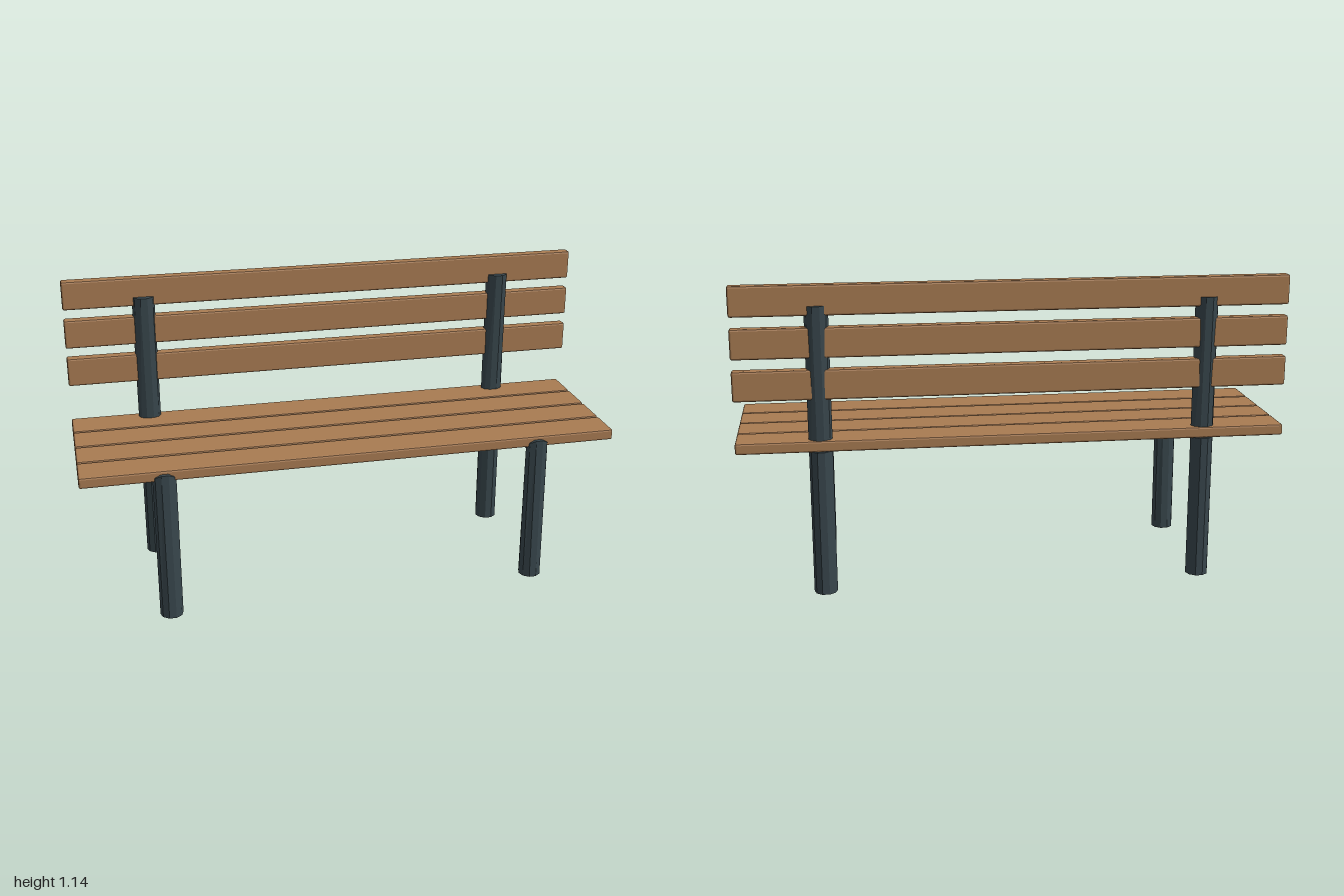
import * as THREE from 'three';
import { RoundedBoxGeometry } from 'three/addons/geometries/RoundedBoxGeometry.js';

const SIDES = 10, R = 0.0425, POST_X = 0.7, LEG_Z = 0.265, BEAM_Y = 0.54;

// Bent pipe: ten-sided rings swept through centres (z, y); each ring lies in x and direction (dz, dy)
function bentPipe(rings) {
  const pos = [];
  const point = (i, j) => {
    const [z, y, dz, dy] = rings[i];
    const a = (j % SIDES) / SIDES * Math.PI * 2;
    const w = R * Math.sin(a);
    return [R * Math.cos(a), y + w * dy, z + w * dz];
  };
  const centre = i => [0, rings[i][1], rings[i][0]];
  const tri = (a, b, c) => pos.push(...a, ...b, ...c);
  const last = rings.length - 1;
  for (let j = 0; j < SIDES; j++) {
    for (let i = 0; i < last; i++) {
      tri(point(i, j), point(i + 1, j), point(i, j + 1));
      tri(point(i, j + 1), point(i + 1, j), point(i + 1, j + 1));
    }
    // End caps
    tri(centre(0), point(0, j), point(0, j + 1));
    tri(centre(last), point(last, j + 1), point(last, j));
  }
  const geo = new THREE.BufferGeometry();
  geo.setAttribute('position', new THREE.Float32BufferAttribute(pos, 3));
  geo.computeVertexNormals();
  return geo;
}

// Plank with small chamfered edges
function plankGeometry(height, depth) {
  const geo = new RoundedBoxGeometry(2, height, depth, 1, 0.007);
  geo.computeVertexNormals();
  return geo;
}

export function createModel() {
  const bench = new THREE.Group();
  bench.name = 'bench';

  const wood = new THREE.MeshStandardMaterial({ color: 0xa87b52 });
  wood.name = 'wood';
  const metal = new THREE.MeshStandardMaterial({ color: 0x38464c, flatShading: true });
  metal.name = 'dark metal';

  const add = (name, geo, mat, x, y, z) => {
    const mesh = new THREE.Mesh(geo, mat);
    mesh.name = name;
    mesh.position.set(x, y, z);
    bench.add(mesh);
  };

  // Frames: front leg, seat beam and back post in one pipe, plus a straight rear leg
  const m = Math.SQRT1_2;
  const frame = bentPipe([
    [LEG_Z, 0, 1, 0],
    [LEG_Z, BEAM_Y, m, m],
    [-LEG_Z, BEAM_Y, m, m],
    [-LEG_Z, 1.065, 1, 0],
  ]);
  const rearLeg = new THREE.CylinderGeometry(R, R, BEAM_Y, SIDES).rotateY(Math.PI / 2);
  for (const side of [1, -1]) {
    const label = side > 0 ? 'left' : 'right';
    add(label + 'Frame', frame, metal, side * POST_X, 0, 0);
    add(label + 'RearLeg', rearLeg, metal, side * POST_X, BEAM_Y / 2, -LEG_Z);
  }

  // Four seat planks
  const seat = plankGeometry(0.041, 0.138);
  for (let i = 0; i < 4; i++) add('seatPlank' + (i + 1), seat, wood, 0, 0.561, 0.209 - i * 0.1465);

  // Three backrest slats
  const slat = plankGeometry(0.109, 0.042);
  for (let i = 0; i < 3; i++) add('backSlat' + (i + 1), slat, wood, 0, 0.785 + i * 0.15, -0.272);

  return bench;
}
